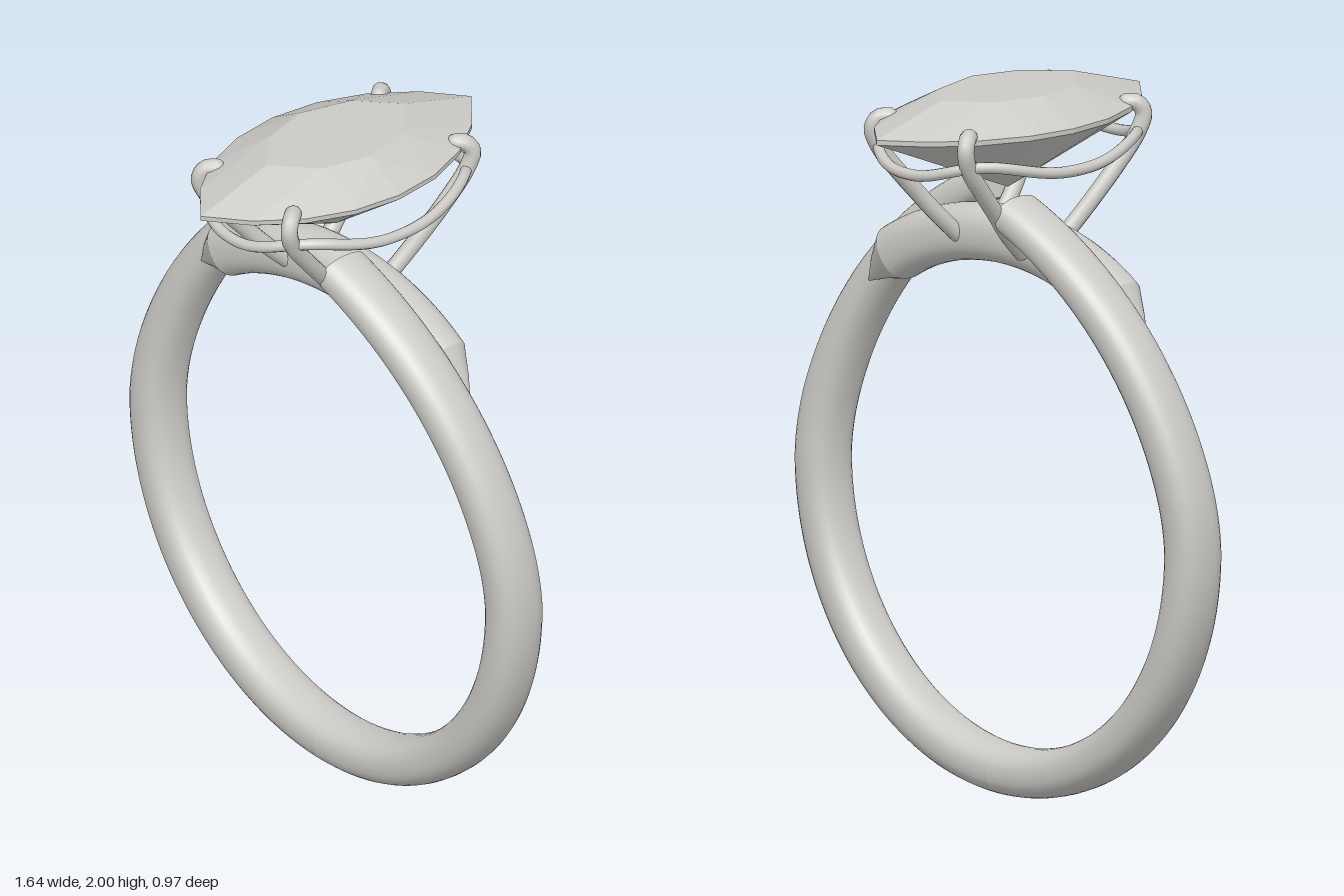
import * as THREE from 'three';

const V = (x, y, z) => new THREE.Vector3(x, y, z);
const CY = 0.82; // height of the ring's centre
const RAD = Math.PI / 180;

// Sweep rounded cross-sections around the ring: each {a, r, z, hr, hz}
function loft(sections, capStart, capEnd, n = 28) {
  const pos = [], idx = [];
  const rings = sections.map(({ a, r, z, hr, hz }) => {
    const ring = [];
    for (let j = 0; j < n; j++) {
      const p = (j / n) * Math.PI * 2, c = Math.cos(p), s = Math.sin(p);
      const d = r + hr * Math.sign(c) * Math.abs(c) ** 0.85;
      ring.push(V(d * Math.cos(a * RAD), CY + d * Math.sin(a * RAD), z - hz * Math.sign(s) * Math.abs(s) ** 0.85));
    }
    return ring;
  });
  rings.forEach((ring) => ring.forEach((p) => pos.push(p.x, p.y, p.z)));
  for (let i = 0; i < rings.length - 1; i++) {
    for (let j = 0; j < n; j++) {
      const k = (j + 1) % n, A = i * n, B = A + n;
      idx.push(A + j, A + k, B + j, A + k, B + k, B + j);
    }
  }
  const cap = (ring, flip) => {
    const base = pos.length / 3;
    const c = ring.reduce((m, p) => m.add(p), V(0, 0, 0)).divideScalar(n);
    [c, ...ring].forEach((p) => pos.push(p.x, p.y, p.z));
    for (let j = 0; j < n; j++) {
      const u = base + 1 + j, w = base + 1 + ((j + 1) % n);
      idx.push(base, flip ? w : u, flip ? u : w);
    }
  };
  if (capStart) cap(rings[0], true);
  if (capEnd) cap(rings[rings.length - 1], false);
  const g = new THREE.BufferGeometry();
  g.setAttribute('position', new THREE.Float32BufferAttribute(pos, 3));
  g.setIndex(idx);
  g.computeVertexNormals();
  return g;
}

// Half of the band: rises from the bottom and drifts outward and forward
function armGeometry() {
  const list = [];
  for (let i = 0; i <= 72; i++) {
    const a = -90 + (169 * i) / 72;
    const s = Math.max(0, (a - 15) / 64);
    list.push({
      a,
      r: 0.7525 + 0.133 * s * s,
      z: 0.12 * (Math.max(0, a) / 79) ** 1.3,
      hr: 0.0675 - 0.012 * s,
      hz: 0.08,
    });
  }
  return loft(list, false, true);
}

// Arc joining the two arms below the stone
function bridgeSection(a) {
  return { a, r: 0.76, z: -0.024 * Math.sin(((90 - a) / 33) * Math.PI / 2), hr: 0.08, hz: 0.075 };
}

// Pointed oval outline made of two arcs, t runs 0..1 from +z through +x
function marquise(t, a, b, y) {
  const R = (a * a + b * b) / (2 * a), phi = Math.asin(b / R);
  const u = ((t % 1) + 1) % 1, s = u < 0.5 ? 1 : -1;
  const ang = phi * (1 - 4 * (u % 0.5));
  return V(s * (R * Math.cos(ang) - (R - a)), y, s * R * Math.sin(ang));
}

// Faceted stone: table, crown, thin girdle and pavilion
function stoneGeometry() {
  const pos = [];
  const tri = (...ps) => ps.forEach((p) => pos.push(p.x, p.y, p.z));
  const T = (i) => marquise(i / 8, 0.15, 0.25, 2);
  const G = (i) => marquise(i / 16, 0.268, 0.487, 1.93);
  const L = (i) => marquise(i / 16, 0.268, 0.487, 1.916);
  const top = V(0, 2, 0), culet = V(0, 1.715, 0);
  for (let i = 0; i < 8; i++) {
    const k = 2 * i;
    tri(top, T(i), T(i + 1));
    tri(T(i), G(k - 1), G(k));
    tri(T(i), G(k), G(k + 1));
    tri(T(i), G(k + 1), T(i + 1));
  }
  for (let i = 0; i < 16; i++) {
    tri(G(i), L(i), L(i + 1));
    tri(G(i), L(i + 1), G(i + 1));
    tri(L(i), culet, L(i + 1));
  }
  const g = new THREE.BufferGeometry();
  g.setAttribute('position', new THREE.Float32BufferAttribute(pos, 3));
  g.computeVertexNormals();
  return g;
}

export function createModel() {
  const model = new THREE.Group();
  model.name = 'ring';
  const metal = new THREE.MeshStandardMaterial({ color: 0xcccac6 });
  metal.name = 'pale grey';
  const add = (geo, name, parent = model) => {
    const m = new THREE.Mesh(geo, metal);
    m.name = name;
    parent.add(m);
    return m;
  };

  // Band: two identical arms, half a turn apart
  const arm = armGeometry();
  add(arm, 'leftArm');
  add(arm, 'rightArm').rotation.y = Math.PI;

  // Bridge with pointed ends
  const mid = [];
  for (let i = 0; i <= 28; i++) mid.push(bridgeSection(57 + (66 * i) / 28));
  add(loft(mid, false, false), 'bridge');
  const tip = loft([
    { a: 45, r: 0.757, z: -0.025, hr: 0.004, hz: 0.004 },
    { a: 51, r: 0.758, z: -0.025, hr: 0.042, hz: 0.04 },
    bridgeSection(57),
  ], true, false);
  add(tip, 'leftBridgeTip');
  add(tip, 'rightBridgeTip').rotation.y = Math.PI;

  // Stone
  add(stoneGeometry(), 'stone');

  // Wavy gallery wire around the stone
  const wire = [];
  for (let i = 0; i < 48; i++) {
    const t = (i / 48) * Math.PI * 2, c = Math.cos(t), s = Math.sin(t);
    wire.push(V(
      0.287 * Math.sign(c) * Math.abs(c) ** 0.86,
      1.817 + 0.04 * Math.sin(2 * t) ** 2,
      0.378 * Math.sign(s) * Math.abs(s) ** 0.86,
    ));
  }
  add(new THREE.TubeGeometry(new THREE.CatmullRomCurve3(wire, true), 120, 0.016, 10, true), 'galleryWire');

  // Four claws hooked over the girdle
  const path = [
    [0.125, 1.56, 0.06], [0.14, 1.63, 0.13], [0.158, 1.7, 0.19], [0.172, 1.77, 0.25],
    [0.184, 1.85, 0.312], [0.19, 1.905, 0.33], [0.18, 1.933, 0.315], [0.162, 1.935, 0.292],
  ];
  for (const sx of [1, -1]) {
    for (const sz of [1, -1]) {
      const claw = new THREE.Group();
      claw.name = (sz > 0 ? 'front' : 'back') + (sx > 0 ? 'Left' : 'Right') + 'Claw';
      const pts = path.map(([x, y, z]) => V(sx * x, y, sz * z));
      add(new THREE.TubeGeometry(new THREE.CatmullRomCurve3(pts), 40, 0.024, 12), 'clawWire', claw);
      add(new THREE.SphereGeometry(0.024, 12, 8), 'clawTip', claw).position.copy(pts[pts.length - 1]);
      model.add(claw);
    }
  }
  return model;
}
